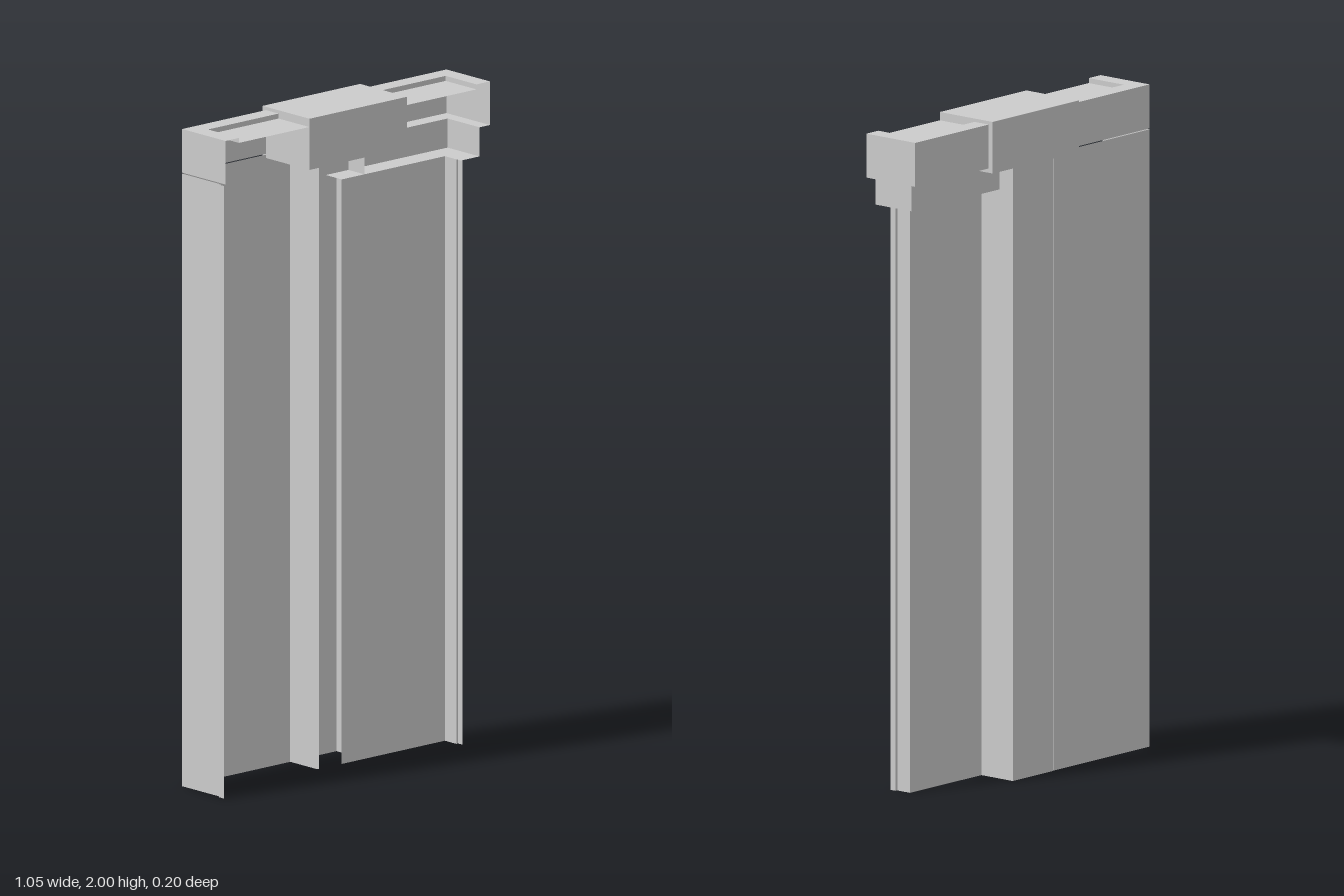
import * as THREE from 'three';

const material = new THREE.MeshStandardMaterial({ color: 0xcccccc, side: THREE.DoubleSide, flatShading: true });

function addMesh(parent, name, geometry) {
  const mesh = new THREE.Mesh(geometry, material);
  mesh.name = name;
  parent.add(mesh);
  return mesh;
}

// Upright folded sheet following a plan path of [x, z] points
function foldedSheet(path, y0, y1) {
  const positions = [];
  for (let i = 0; i < path.length - 1; i++) {
    const [ax, az] = path[i];
    const [bx, bz] = path[i + 1];
    positions.push(ax, y0, az, bx, y0, bz, bx, y1, bz);
    positions.push(ax, y0, az, bx, y1, bz, ax, y1, az);
  }
  const geometry = new THREE.BufferGeometry();
  geometry.setAttribute('position', new THREE.Float32BufferAttribute(positions, 3));
  geometry.computeVertexNormals();
  return geometry;
}

// Level sheet with a plan outline of [x, z] points
function levelSheet(outline, y) {
  const shape = new THREE.Shape(outline.map(([x, z]) => new THREE.Vector2(x, -z)));
  return new THREE.ShapeGeometry(shape).rotateX(-Math.PI / 2).translate(0, y, 0);
}

// Three-sided plan path, open to the front
const channel = (x0, x1, back, front) => [[x0, front], [x0, back], [x1, back], [x1, front]];

export function createModel() {
  const group = new THREE.Group();
  const front = 0.1, back = -0.09, face = 0.03;
  const lintelBase = 1.858, ledgeBase = 1.77, rimTop = 1.99, recess = 1.975;

  // Outer casing with a jogged front lip and a small reveal beside the mullion
  addMesh(group, 'outerPanel', foldedSheet(
    [[-0.53, front], [-0.53, 0.08], [-0.523, 0.08], [-0.523, back], [-0.095, back], [-0.095, face]], 0, 1.855));

  // Central channel
  addMesh(group, 'mullion', foldedSheet(
    [[-0.09, face], [-0.09, back - 0.002], [0.09, back - 0.002], [0.09, face]], 0, 1.855));

  // Recessed panel and its jogged side lip
  addMesh(group, 'recessedPanel', foldedSheet(
    [[0, face], [0.09, face], [0.408, face], [0.408, 0.08], [0.415, 0.08], [0.415, front]], 0, ledgeBase));

  // Stepped ledge above the recessed panel
  const ledge = new THREE.Group();
  ledge.name = 'ledge';
  addMesh(ledge, 'ledgeWall', foldedSheet([[0, -0.04], [0.482, -0.04], [0.482, front]], ledgeBase, lintelBase));
  addMesh(ledge, 'ledgeFloor', levelSheet(
    [[0, face], [0.408, face], [0.408, front], [0.482, front], [0.482, -0.04], [0, -0.04]], ledgeBase));
  group.add(ledge);

  // Hollow lintel with a mitred rim around a shallow recess
  const lintel = new THREE.Group();
  lintel.name = 'lintel';
  addMesh(lintel, 'lintelWalls', foldedSheet(channel(-0.523, 0.523, back, front), lintelBase, rimTop));
  addMesh(lintel, 'backRim', levelSheet([[-0.523, back], [0.523, back], [0.47, -0.035], [-0.47, -0.035]], rimTop));
  for (const s of [-1, 1]) {
    addMesh(lintel, s < 0 ? 'rightRim' : 'leftRim', levelSheet(
      [[s * 0.523, back], [s * 0.523, front], [s * 0.47, front], [s * 0.47, -0.035]], rimTop));
  }
  addMesh(lintel, 'rimLip', foldedSheet(channel(-0.47, 0.47, -0.035, front), recess, rimTop));
  addMesh(lintel, 'lintelTop', levelSheet([[-0.47, -0.035], [0.47, -0.035], [0.47, front], [-0.47, front]], recess));
  addMesh(lintel, 'lintelSoffit', levelSheet(
    [[0, back], [0.523, back], [0.523, front], [0.482, front], [0.482, -0.04], [0, -0.04]], lintelBase));
  group.add(lintel);

  // Solid block at the middle of the lintel
  addMesh(group, 'centreBlock', new THREE.BoxGeometry(0.386, 0.155, 0.205)).position.set(0.002, 1.9225, -0.0025);

  return group;
}
